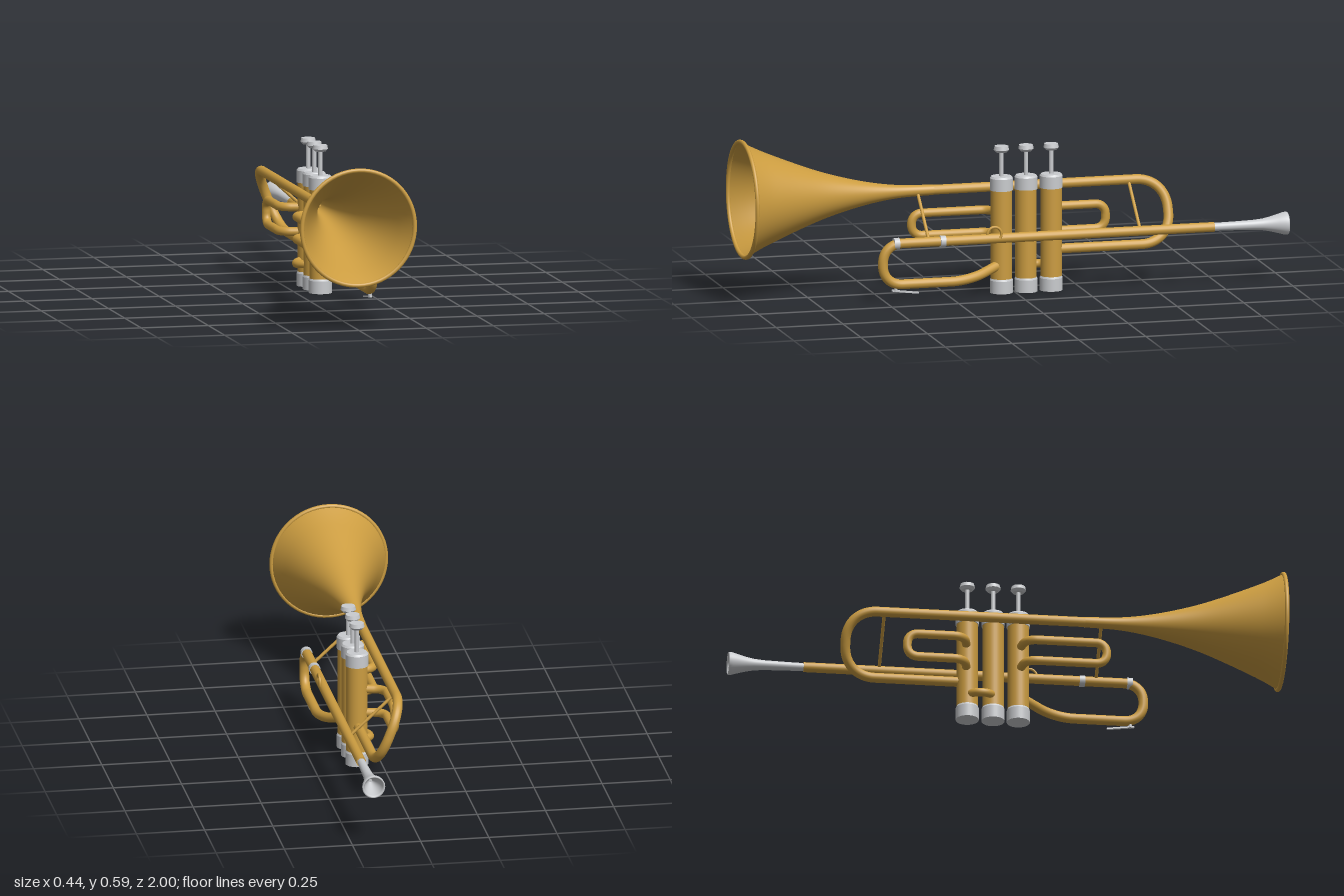
import * as THREE from 'three';

const V = (x, y, z) => new THREE.Vector3(x, y, z);
const brass = new THREE.MeshStandardMaterial({ color: 0xcb9c40, side: THREE.DoubleSide });
brass.name = 'brass';
const silver = new THREE.MeshStandardMaterial({ color: 0xc9cbce, side: THREE.DoubleSide });
silver.name = 'silver';

function add(parent, name, geometry, material) {
  const mesh = new THREE.Mesh(geometry, material);
  mesh.name = name;
  parent.add(mesh);
  return mesh;
}

// Tube through a polyline whose corners are rounded over the given length
function bentTube(corners, rounding, radius, segments = 120) {
  const pts = corners.map((c) => V(...c));
  const path = new THREE.CurvePath();
  let from = pts[0];
  for (let i = 1; i < pts.length - 1; i++) {
    const p = pts[i], before = pts[i - 1], after = pts[i + 1];
    const d = Math.min(rounding, p.distanceTo(before) * 0.49, p.distanceTo(after) * 0.49);
    const a = p.clone().add(before.clone().sub(p).setLength(d));
    const b = p.clone().add(after.clone().sub(p).setLength(d));
    path.add(new THREE.LineCurve3(from, a));
    // control points pulled to 0.6 make the corner close to a circular arc
    path.add(new THREE.CubicBezierCurve3(a, a.clone().lerp(p, 0.6), b.clone().lerp(p, 0.6), b));
    from = b;
  }
  path.add(new THREE.LineCurve3(from, pts[pts.length - 1]));
  return new THREE.TubeGeometry(path, segments, radius, 16);
}

// Lathe whose axis lies along z; profile entries are [radius, z]
function latheZ(profile, segments) {
  const pts = profile.map(([r, z]) => new THREE.Vector2(r, z));
  return new THREE.LatheGeometry(pts, segments).rotateX(Math.PI / 2);
}

function cylinder(r, y0, y1) {
  return new THREE.CylinderGeometry(r, r, y1 - y0, 32).translate(0, (y0 + y1) / 2, 0);
}

// One valve: casing, caps, stem and finger button
function makeValve(z) {
  const valve = new THREE.Group();
  valve.name = 'valve';
  add(valve, 'valveCasing', cylinder(0.039, 0.04, 0.39), brass);
  add(valve, 'bottomCap', cylinder(0.042, 0, 0.046), silver);
  add(valve, 'bottomCapShoulder',
    new THREE.CylinderGeometry(0.039, 0.042, 0.007, 32).translate(0, 0.0495, 0), silver);
  add(valve, 'topCap', cylinder(0.042, 0.378, 0.422), silver);
  add(valve, 'topCapShoulder',
    new THREE.CylinderGeometry(0.037, 0.042, 0.007, 32).translate(0, 0.4255, 0), silver);
  add(valve, 'valveStem', cylinder(0.008, 0.42, 0.522), silver);
  add(valve, 'fingerButtonBase',
    new THREE.CylinderGeometry(0.028, 0.02, 0.009, 32).translate(0, 0.5215, 0), silver);
  add(valve, 'fingerButton',
    new THREE.CylinderGeometry(0.025, 0.028, 0.014, 32).translate(0, 0.533, 0), silver);
  valve.position.set(0.088, 0, z);
  return valve;
}

export function createModel() {
  const model = new THREE.Group();
  model.name = 'trumpet';
  const axisY = 0.373, pipeX = 0.171, pipeY = 0.217;

  // Bell flare and rolled rim
  const flare = new THREE.SplineCurve([
    [0.019, 0.28], [0.023, 0.4], [0.036, 0.5], [0.058, 0.6], [0.087, 0.7],
    [0.124, 0.8], [0.165, 0.9], [0.188, 0.95], [0.212, 0.995],
  ].map(([r, z]) => new THREE.Vector2(r, z))).getPoints(48);
  add(model, 'bell', latheZ(flare.map((p) => [p.x, p.y]), 64), brass).position.y = axisY;
  add(model, 'bellRim', new THREE.TorusGeometry(0.21, 0.008, 12, 64), brass)
    .position.set(0, axisY, 0.992);

  // Main tube with the rear bow into the third valve
  add(model, 'mainTube', bentTube([
    [0, axisY, 0.3], [0, axisY, -0.587], [0.088, 0.15, -0.587], [0.088, 0.15, -0.14],
  ], 0.112, 0.018, 200), brass);

  // Leadpipe, tuning slide and its entry into the first valve
  add(model, 'leadpipe', bentTube([
    [pipeX, pipeY, -0.725], [pipeX, pipeY, 0.513], [pipeX, 0.066, 0.513],
    [pipeX, 0.066, 0.19], [0.1, 0.105, 0.06],
  ], 0.072, 0.018, 240), brass);
  for (const z of [0.463, 0.29]) {
    add(model, 'ferrule', new THREE.CylinderGeometry(0.021, 0.021, 0.02, 24).rotateX(Math.PI / 2), silver)
      .position.set(pipeX, pipeY, z);
  }

  // Valves
  for (const z of [0.048, -0.044, -0.138]) model.add(makeValve(z));

  // First and third valve slides
  const slide = (name, valveZ, nearZ, endZ, top, bottom) => add(model, name, bentTube([
    [0.088, top, valveZ], [-0.012, top, nearZ], [-0.012, top, endZ],
    [-0.012, bottom, endZ], [-0.012, bottom, nearZ], [0.088, bottom, valveZ],
  ], 0.04, 0.016, 160), brass);
  slide('firstValveSlide', 0.048, 0.065, 0.358, 0.287, 0.205);
  slide('thirdValveSlide', -0.138, -0.16, -0.368, 0.287, 0.197);

  // Short crossover between the second and third valves
  add(model, 'valveCrossover', bentTube([
    [0.088, 0.098, -0.044], [0.033, 0.088, -0.062],
    [0.033, 0.088, -0.12], [0.088, 0.098, -0.138],
  ], 0.03, 0.015, 60), brass);

  // Braces between main tube and leadpipe
  for (const z of [0.34, -0.45]) {
    const line = new THREE.LineCurve3(V(0, axisY, z), V(pipeX, pipeY, z));
    add(model, 'brace', new THREE.TubeGeometry(line, 1, 0.006, 12), brass);
  }

  // Finger hook on the leadpipe
  const hook = add(model, 'fingerHook', new THREE.TorusGeometry(0.026, 0.005, 10, 32, Math.PI * 1.2), brass);
  hook.rotation.y = -Math.PI / 2;
  hook.position.set(0.187, 0.236, 0.1);

  // Water key under the tuning slide
  const key = add(model, 'waterKey', new THREE.BoxGeometry(0.009, 0.006, 0.1), silver);
  key.position.set(pipeX, 0.038, 0.43);
  key.rotation.x = -0.13;
  add(model, 'waterKeyPad', new THREE.CylinderGeometry(0.007, 0.007, 0.016, 16), silver)
    .position.set(pipeX, 0.048, 0.465);

  // Mouthpiece with hollow cup
  add(model, 'mouthpiece', latheZ([
    [0.006, -0.925], [0.016, -0.945], [0.027, -0.965], [0.033, -0.992], [0.036, -0.998],
    [0.04, -1], [0.042, -0.996], [0.041, -0.985], [0.035, -0.965], [0.027, -0.935],
    [0.021, -0.905], [0.018, -0.87], [0.016, -0.8], [0.0145, -0.715],
  ], 40), silver).position.set(pipeX, pipeY, 0);
  add(model, 'mouthpieceThroat', new THREE.CircleGeometry(0.0065, 20), silver)
    .position.set(pipeX, pipeY, -0.925);

  // Collar closing the leadpipe around the mouthpiece shank
  add(model, 'receiverEnd', new THREE.RingGeometry(0.012, 0.018, 24), brass)
    .position.set(pipeX, pipeY, -0.725);

  return model;
}
